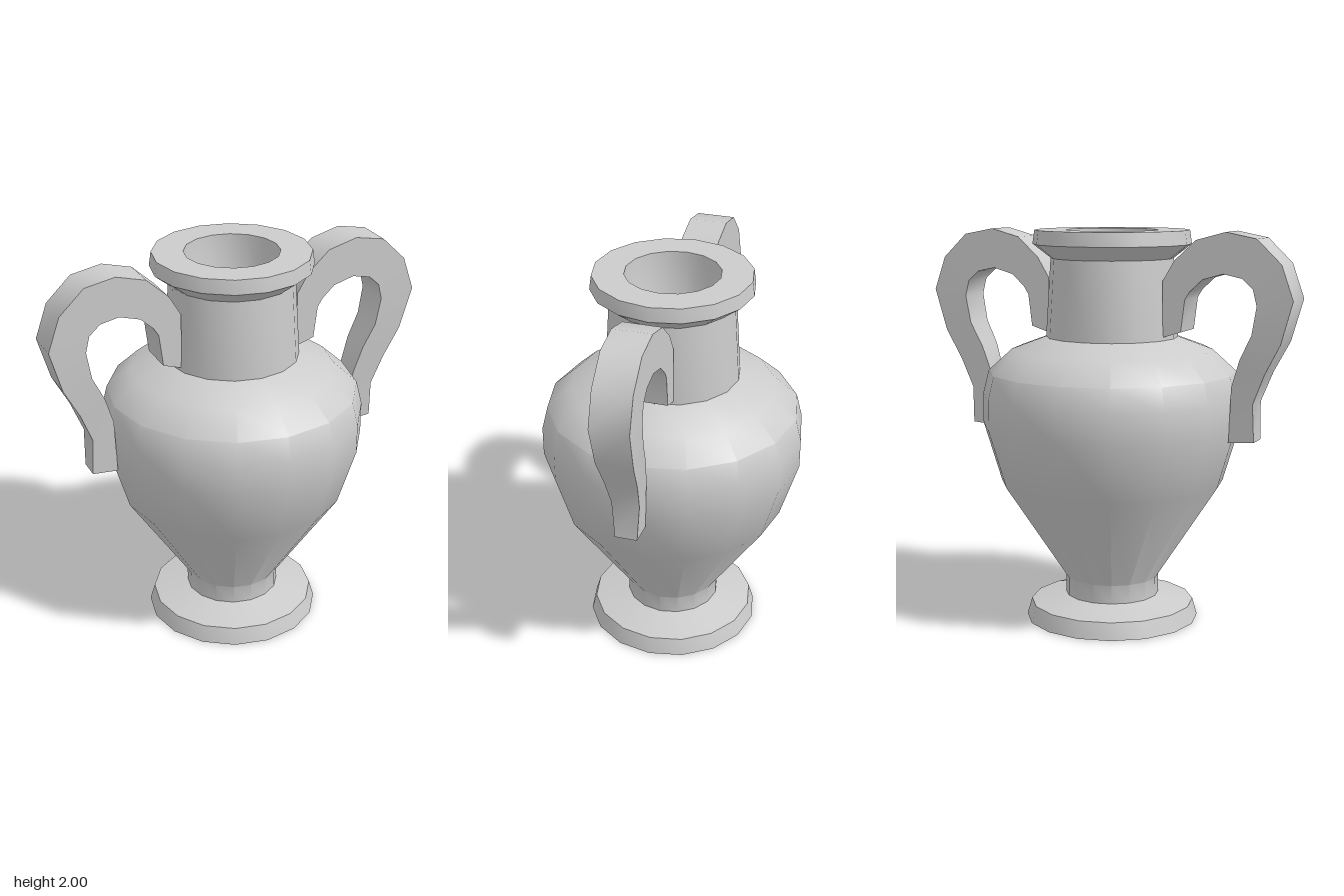
import * as THREE from 'three';
import { toCreasedNormals } from 'three/addons/utils/BufferGeometryUtils.js';

const SIDES = 16;
const CREASE = 0.62;
const material = new THREE.MeshStandardMaterial({ color: 0xcccccc });

// Turned part from a bottom-to-top profile of [radius, height]
function turned(name, profile) {
  const points = profile.map(([r, y]) => new THREE.Vector2(r, y));
  const geometry = toCreasedNormals(new THREE.LatheGeometry(points, SIDES), CREASE);
  const mesh = new THREE.Mesh(geometry, material);
  mesh.name = name;
  return mesh;
}

// Handle sections from neck to belly: outer x, y, inner x, y, half width
const HANDLE = [
  [0.31, 1.48, 0.405, 1.51, 0.095],
  [0.31, 1.76, 0.425, 1.67, 0.095],
  [0.37, 1.86, 0.45, 1.71, 0.095],
  [0.48, 1.96, 0.515, 1.77, 0.095],
  [0.63, 2.0, 0.62, 1.8, 0.095],
  [0.785, 1.97, 0.715, 1.78, 0.095],
  [0.91, 1.85, 0.77, 1.73, 0.095],
  [0.97, 1.68, 0.79, 1.65, 0.095],
  [0.91, 1.47, 0.765, 1.51, 0.09],
  [0.83, 1.32, 0.705, 1.39, 0.08],
  [0.77, 1.17, 0.66, 1.25, 0.068],
  [0.775, 0.98, 0.645, 0.97, 0.055],
];

function handleGeometry() {
  const positions = [];
  const index = [];
  HANDLE.forEach(([ox, oy, ix, iy, w]) => {
    positions.push(ox, oy, w, ix, iy, w, ix, iy, -w, ox, oy, -w);
  });
  const last = (HANDLE.length - 1) * 4;
  for (let s = 0; s < last; s += 4) {
    for (let k = 0; k < 4; k++) {
      const a = s + k;
      const b = s + ((k + 1) % 4);
      index.push(a, b, b + 4, a, b + 4, a + 4);
    }
  }
  // End caps
  index.push(0, 2, 1, 0, 3, 2);
  index.push(last, last + 1, last + 2, last, last + 2, last + 3);
  const geometry = new THREE.BufferGeometry();
  geometry.setAttribute('position', new THREE.Float32BufferAttribute(positions, 3));
  geometry.setIndex(index);
  return toCreasedNormals(geometry, CREASE);
}

export function createModel() {
  const vase = new THREE.Group();
  vase.name = 'amphora';

  vase.add(
    turned('foot', [[0, 0], [0.445, 0], [0.42, 0.085], [0.24, 0.125]]),
    turned('belly', [
      [0.24, 0.125], [0.24, 0.22], [0.57, 0.72], [0.66, 1.02],
      [0.66, 1.17], [0.63, 1.29], [0.51, 1.4], [0.335, 1.465],
    ]),
    turned('neck', [[0.335, 1.465], [0.31, 1.86]]),
    turned('rim', [[0.31, 1.86], [0.4, 1.93], [0.39, 2], [0.235, 2]]),
    // Hollow mouth, running down the inside of the neck
    turned('mouth', [[0.235, 2], [0.22, 1.75], [0.15, 1.55], [0, 1.47]]),
  );

  // Pair of handles, the second turned half way round
  const geometry = handleGeometry();
  ['leftHandle', 'rightHandle'].forEach((name, i) => {
    const handle = new THREE.Mesh(geometry, material);
    handle.name = name;
    handle.rotation.y = i * Math.PI;
    vase.add(handle);
  });

  return vase;
}
